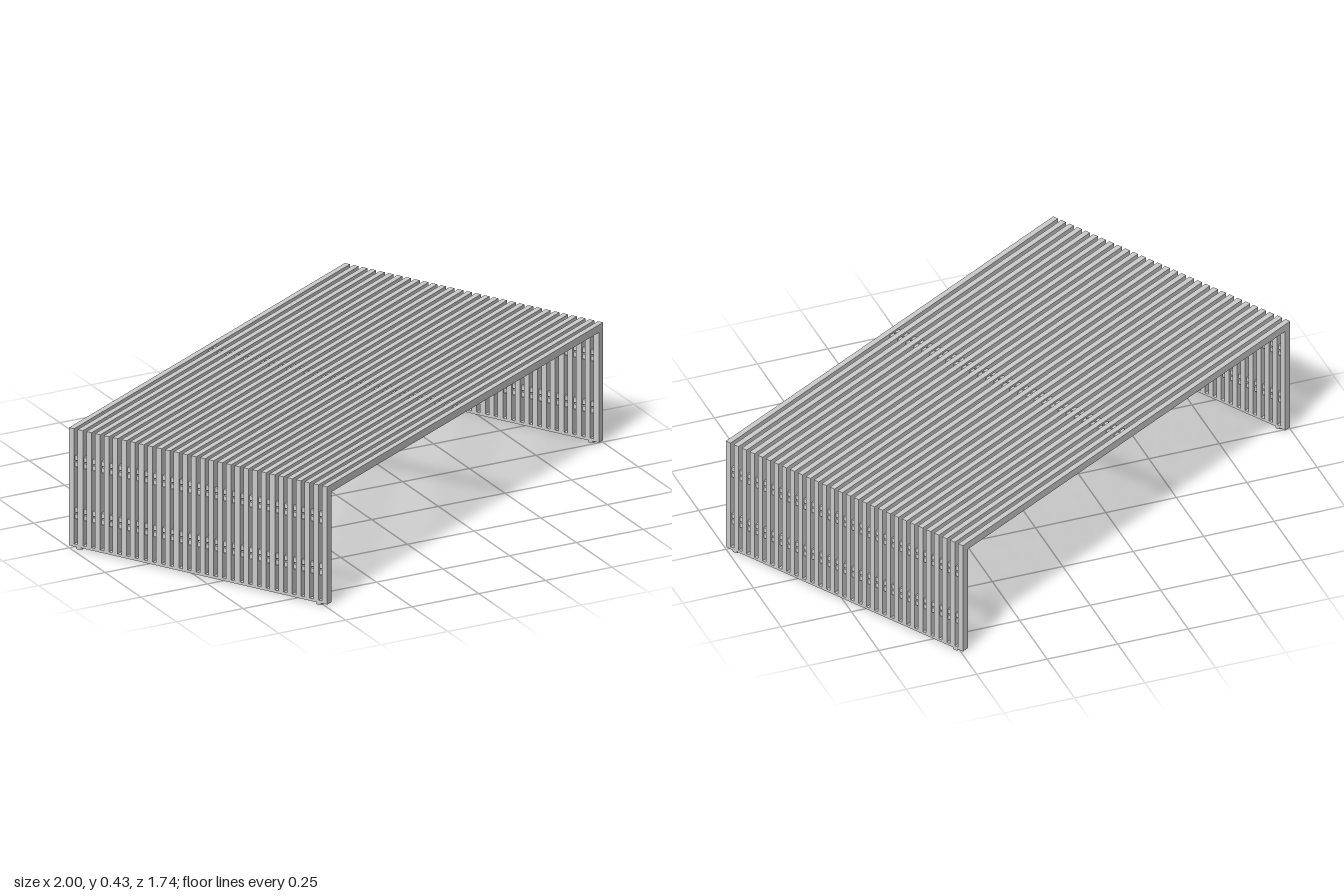
import * as THREE from 'three';

const LENGTH = 1.73, WIDTH = 1.005, TOP = 0.427, BASE = 0.008, THICK = 0.027;
const SLATS = 30, SLAT_W = 0.02;

export function createModel() {
  const table = new THREE.Group();
  table.name = 'slattedTable';
  const material = new THREE.MeshStandardMaterial({ color: 0xcccccc });

  function add(parent, name, geometry, x, y, z) {
    const mesh = new THREE.Mesh(geometry, material);
    mesh.name = name;
    mesh.position.set(x, y, z);
    parent.add(mesh);
  }

  // Each slat is one flat bar folded into a bridge: leg, top, leg
  const h = LENGTH / 2;
  const profile = new THREE.Shape([
    [-h, BASE], [-h + THICK, BASE], [-h + THICK, TOP - THICK], [h - THICK, TOP - THICK],
    [h - THICK, BASE], [h, BASE], [h, TOP], [-h, TOP],
  ].map(([x, y]) => new THREE.Vector2(x, y)));
  const slat = new THREE.ExtrudeGeometry(profile, { depth: SLAT_W, bevelEnabled: false });
  const slats = new THREE.Group();
  slats.name = 'slats';
  const pitch = (WIDTH - SLAT_W) / (SLATS - 1);
  for (let i = 0; i < SLATS; i++) add(slats, 'slat', slat, 0, 0, -WIDTH / 2 + i * pitch);
  table.add(slats);

  // Pair of cross bars joining the slats under the middle of the top
  const inner = WIDTH - 0.01;
  const crossBar = new THREE.BoxGeometry(0.021, 0.014, inner);
  for (const x of [-0.014, 0.014]) add(table, 'crossBar', crossBar, x, TOP - THICK / 2, 0);

  // Leg ends: paired spacer rails, base bar and round feet
  const rail = new THREE.BoxGeometry(0.013, 0.017, inner);
  const baseBar = new THREE.BoxGeometry(THICK, 0.009, WIDTH);
  const foot = new THREE.CylinderGeometry(0.013, 0.013, BASE, 16);
  for (const side of [-1, 1]) {
    const leg = new THREE.Group();
    leg.name = side > 0 ? 'leftLegBars' : 'rightLegBars';
    const x = side * (h - THICK / 2);
    for (const y of [0.125, 0.31])
      for (const dy of [-0.0115, 0.0115]) add(leg, 'spacerRail', rail, x, y + dy, 0);
    add(leg, 'baseBar', baseBar, x, BASE + 0.0045, 0);
    for (const end of [-1, 1]) add(leg, 'foot', foot, x, BASE / 2, end * (WIDTH / 2 - 0.035));
    table.add(leg);
  }

  // The table stands turned on the floor
  table.rotation.y = Math.PI / 6;
  const model = new THREE.Group();
  model.name = 'model';
  model.add(table);
  return model;
}
